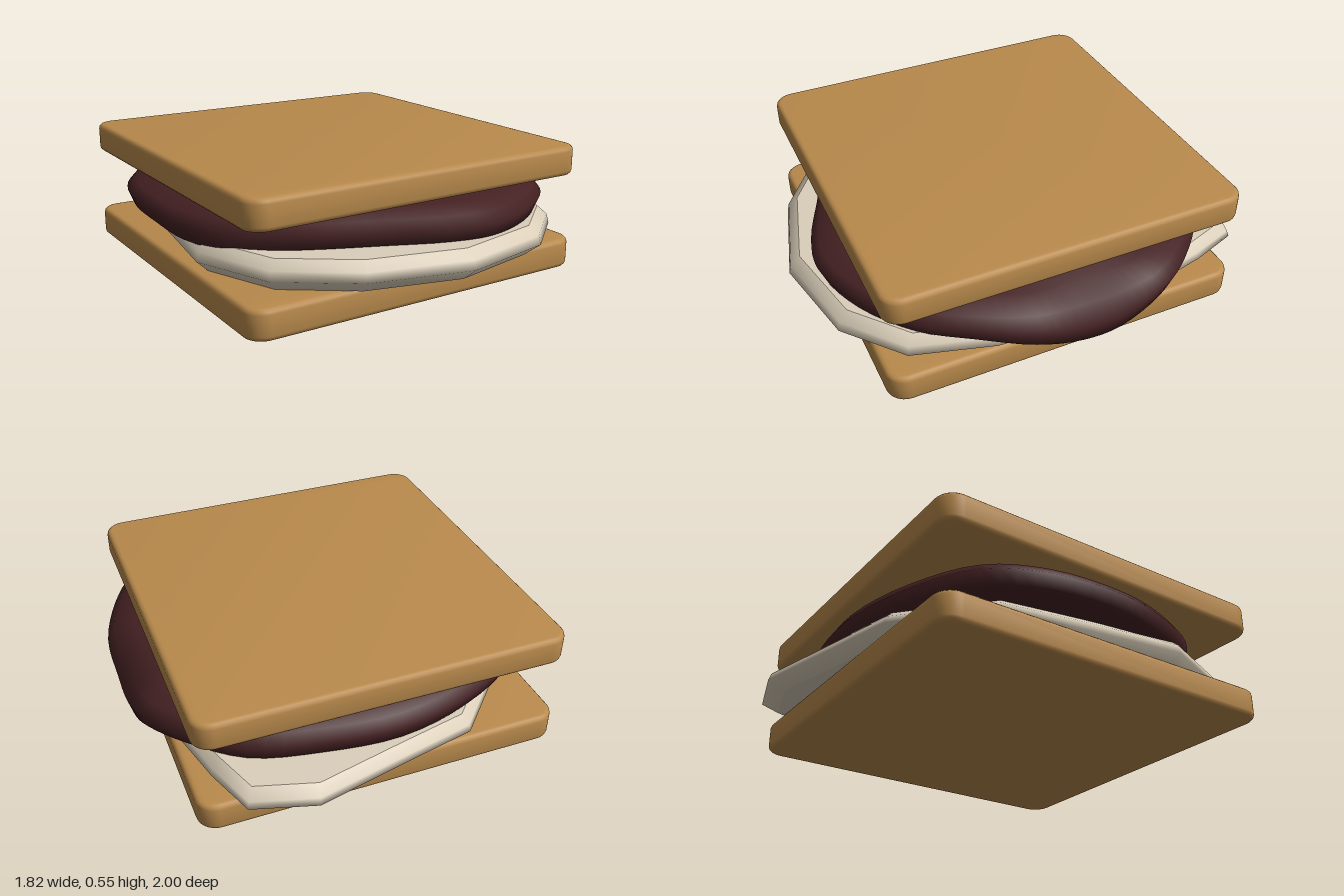
import * as THREE from 'three';
import { toCreasedNormals } from 'three/addons/utils/BufferGeometryUtils.js';

const material = (name, color) => {
  const m = new THREE.MeshStandardMaterial({ color });
  m.name = name;
  return m;
};

// Closed slab from stacked rings: each ring scales the outline and sets its height.
// A repeated ring breaks the smooth shading there.
function ringSlab(outline, rings, heightAt) {
  const n = outline.length, pos = [], idx = [];
  rings.forEach((ring) => outline.forEach((p) => {
    pos.push(p.x * ring[0], heightAt(ring, p), p.z * ring[0]);
  }));
  for (let r = 0; r < rings.length - 1; r++) {
    const a = rings[r], b = rings[r + 1];
    if (a === b) continue;
    for (let j = 0; j < n; j++) {
      const k = (j + 1) % n, u = r * n, v = u + n;
      if (a[0] > 0) idx.push(u + j, u + k, v + j);
      if (b[0] > 0) idx.push(u + k, v + k, v + j);
    }
  }
  const g = new THREE.BufferGeometry();
  g.setAttribute('position', new THREE.Float32BufferAttribute(pos, 3));
  g.setIndex(idx);
  g.computeVertexNormals();
  return g;
}

// Square biscuit with rounded corners and a softened rim
function crackerGeometry(size, height) {
  const bevel = 0.022, h = size / 2 - bevel, r = 0.065;
  const s = new THREE.Shape();
  s.absarc(h - r, h - r, r, 0, Math.PI / 2);
  s.absarc(-h + r, h - r, r, Math.PI / 2, Math.PI);
  s.absarc(-h + r, -h + r, r, Math.PI, Math.PI * 1.5);
  s.absarc(h - r, -h + r, r, Math.PI * 1.5, Math.PI * 2);
  const g = new THREE.ExtrudeGeometry(s, {
    depth: height - 2 * bevel, bevelThickness: bevel, bevelSize: bevel, bevelSegments: 3, curveSegments: 5,
  });
  g.translate(0, 0, bevel);
  g.rotateX(-Math.PI / 2);
  return toCreasedNormals(g, 0.7);
}

export function createModel() {
  const group = new THREE.Group();
  const add = (name, geometry, mat) => {
    const m = new THREE.Mesh(geometry, mat);
    m.name = name;
    group.add(m);
    return m;
  };
  const biscuit = material('golden biscuit', 0xb98a4c);
  const cream = material('marshmallow cream', 0xdbcfba);
  const cocoa = material('dark chocolate', 0x452123);

  // Two crackers
  const cracker = crackerGeometry(1.63, 0.13);
  add('bottomCracker', cracker, biscuit).position.set(-0.045, 0, -0.015);
  add('topCracker', cracker, biscuit).position.set(-0.045, 0.423, -0.015);

  // Squashed marshmallow: coarse uneven outline (x, z), flat top and bottom
  const marshOutline = [
    [0.82, 0], [0.8, 0.35], [0.7, 0.7], [0.45, 0.91], [0.02, 1], [-0.42, 0.89], [-0.72, 0.68], [-0.86, 0.33],
    [-0.8, -0.1], [-0.74, -0.5], [-0.42, -0.83], [-0.1, -0.9], [0.33, -1], [0.6, -0.92], [0.68, -0.7], [0.77, -0.35],
  ].map(([x, z]) => new THREE.Vector3(x, 0, z));
  const top = [0.945, 0.262, 1], bottom = [0.93, 0.128, 0];
  add('marshmallow', ringSlab(marshOutline,
    [[0, 0.262, 0], top, top, [0.99, 0.225, 1], [1, 0.185, 0.6], bottom, bottom, [0, 0.128, 0]],
    ([, y, tilt], p) => y - tilt * 0.026 * THREE.MathUtils.smoothstep(-p.z, 0.3, 0.9)), cream);

  // Melted chocolate: outline (x, droop, z), with a deep drip on the left side
  const chocCurve = new THREE.CatmullRomCurve3([
    [0.905, 0.12, 0], [0.9, 0.06, 0.22], [0.81, 0.01, 0.46], [0.68, 0, 0.66], [0.45, 0, 0.83], [0.2, 0, 0.91],
    [0, 0, 0.88], [-0.25, 0, 0.78], [-0.55, 0, 0.65], [-0.78, 0.02, 0.45], [-0.88, 0.02, 0.22], [-0.91, 0, 0],
    [-0.88, 0, -0.35], [-0.75, 0, -0.6], [-0.45, 0.01, -0.77], [-0.1, 0.02, -0.85], [0.25, 0.02, -0.82],
    [0.55, 0.02, -0.74], [0.77, 0.02, -0.55], [0.88, 0.04, -0.38], [0.905, 0.115, -0.18],
  ].map((p) => new THREE.Vector3(...p)), true);
  const chocOutline = chocCurve.getPoints(84).slice(0, -1);
  add('chocolate', ringSlab(chocOutline,
    [[0, 0.422, 0], [0.66, 0.422, 0], [0.86, 0.398, 0.1], [0.96, 0.368, 0.3], [1, 0.325, 0.8],
      [0.975, 0.265, 1], [0.9, 0.245, 0.5], [0.78, 0.25, 0], [0, 0.25, 0]],
    ([, y, sag], p) => y - sag * p.y), cocoa);

  return group;
}
